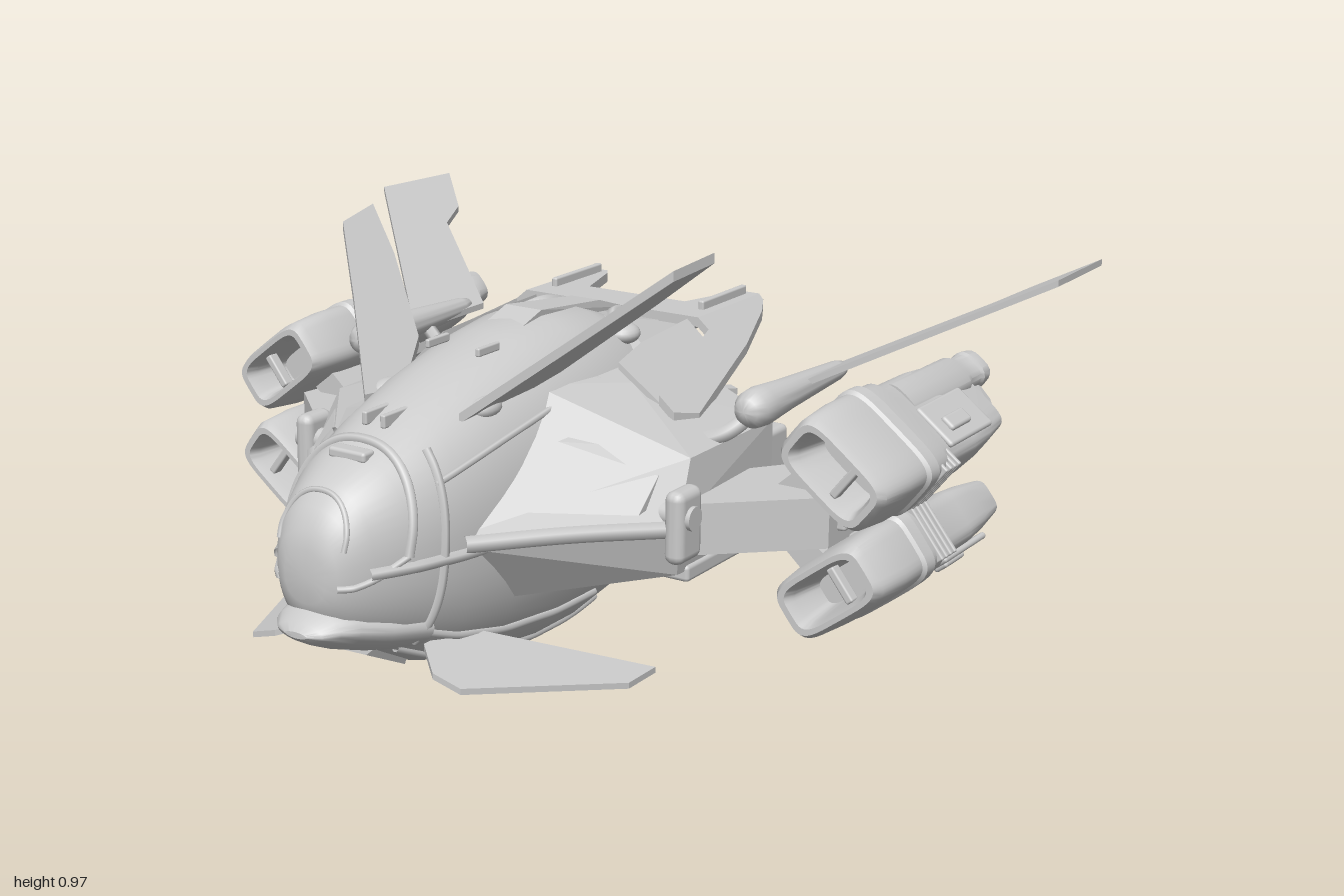
import * as THREE from 'three';
import { toCreasedNormals } from 'three/addons/utils/BufferGeometryUtils.js';
import { ConvexGeometry } from 'three/addons/geometries/ConvexGeometry.js';
import { RoundedBoxGeometry } from 'three/addons/geometries/RoundedBoxGeometry.js';

const mat = new THREE.MeshStandardMaterial({ color: 0xcccccc, side: THREE.DoubleSide });
const V = (x, y, z) => new THREE.Vector3(x, y, z);

// Superellipse ring, counter-clockwise seen from +z
function ring(z, cx, cy, hw, hh, power = 2, n = 32) {
  return Array.from({ length: n }, (_, i) => {
    const a = (i / n) * Math.PI * 2, c = Math.cos(a), s = Math.sin(a);
    return V(cx + hw * Math.sign(c) * Math.abs(c) ** (2 / power),
      cy + hh * Math.sign(s) * Math.abs(s) ** (2 / power), z);
  });
}

// Skin over rings running from front to back, closed at both ends
function loft(rings, crease = 0.6) {
  const n = rings[0].length, last = rings.length - 1, pos = [], idx = [];
  const mid = r => r.reduce((a, p) => a.add(p), V(0, 0, 0)).divideScalar(n);
  [...rings.flat(), mid(rings[0]), mid(rings[last])].forEach(p => pos.push(p.x, p.y, p.z));
  const c0 = n * rings.length, c1 = c0 + 1;
  for (let j = 0; j < n; j++) {
    const k = (j + 1) % n;
    for (let i = 0; i < last; i++) {
      const a = i * n + j, b = i * n + k, c = a + n, d = b + n;
      idx.push(a, c, b, b, c, d);
    }
    idx.push(c0, j, k, c1, last * n + k, last * n + j);
  }
  const g = new THREE.BufferGeometry();
  g.setAttribute('position', new THREE.Float32BufferAttribute(pos, 3));
  g.setIndex(idx);
  return toCreasedNormals(g, crease);
}

// Plate outlined in x,z, with its underside lifted to height(x, z)
function plate(outline, thick, height) {
  const s = new THREE.Shape(outline.map(([x, z]) => new THREE.Vector2(x, -z)));
  const g = new THREE.ExtrudeGeometry(s, { depth: thick, bevelEnabled: false }).rotateX(-Math.PI / 2);
  const p = g.attributes.position;
  for (let i = 0; i < p.count; i++) p.setY(i, p.getY(i) + height(p.getX(i), p.getZ(i)));
  g.computeVertexNormals();
  return g;
}

const hull = pts => new ConvexGeometry(pts.map(p => V(...p)));
const box = (w, h, d, x, y, z, r = 0.008) => new RoundedBoxGeometry(w, h, d, 2, r).translate(x, y, z);
const rod = (pts, r, seg = 24) => new THREE.TubeGeometry(new THREE.CatmullRomCurve3(pts), seg, r, 6);

function mirrored(geo) {
  const g = geo.clone().scale(-1, 1, 1);
  const src = g.index ? Array.from(g.index.array) : Array.from({ length: g.attributes.position.count }, (_, i) => i);
  for (let i = 0; i < src.length; i += 3) [src[i + 1], src[i + 2]] = [src[i + 2], src[i + 1]];
  g.setIndex(src);
  return g;
}

// Fuselage stations: z, top, bottom, half width
const stations = [
  [0.905, 0.43, 0.31, 0.055], [0.895, 0.47, 0.28, 0.08], [0.87, 0.515, 0.24, 0.105], [0.83, 0.555, 0.205, 0.13],
  [0.75, 0.6, 0.16, 0.172], [0.6, 0.665, 0.085, 0.21], [0.45, 0.715, 0.04, 0.232], [0.25, 0.762, 0.016, 0.25],
  [0.1, 0.78, 0.018, 0.258], [-0.05, 0.77, 0.045, 0.26], [-0.15, 0.735, 0.068, 0.25], [-0.22, 0.7, 0.085, 0.235]];

// Point on the fuselage skin at z; angle 0 is the left side, 90 the top
function skin(z, deg) {
  let i = 0;
  while (i < stations.length - 2 && stations[i + 1][0] > z) i++;
  const A = stations[i], B = stations[i + 1], t = (A[0] - z) / (A[0] - B[0]);
  const [top, bot, w] = [1, 2, 3].map(k => A[k] + (B[k] - A[k]) * t);
  const a = deg * Math.PI / 180, c = Math.cos(a), s = Math.sin(a), e = 2 / 2.3;
  return V(w * Math.sign(c) * Math.abs(c) ** e, (top + bot) / 2 + (top - bot) / 2 * Math.sign(s) * Math.abs(s) ** e, z);
}

export function createModel() {
  const model = new THREE.Group();
  model.name = 'dropship';
  const add = (name, geo) => {
    const m = new THREE.Mesh(geo, mat);
    m.name = name;
    model.add(m);
  };
  const pair = (name, geo) => { add(name + 'Left', geo); add(name + 'Right', mirrored(geo)); };

  // Fuselage, beak and belly
  add('fuselage', loft(stations.map(([z, t, b, w]) => ring(z, 0, (t + b) / 2, w, (t - b) / 2, 2.3, 48))));
  add('beak', loft([[0.94, 0.25, 0.03, 0.007], [0.925, 0.252, 0.062, 0.022], [0.895, 0.255, 0.088, 0.042],
    [0.85, 0.25, 0.108, 0.058], [0.78, 0.235, 0.14, 0.068], [0.68, 0.22, 0.17, 0.08]]
    .map(([z, y, w, h]) => ring(z, 0, y, w, h, 1.8))));
  add('chinGun', hull([[-0.035, 0.2, 0.85], [0.035, 0.2, 0.85], [-0.06, 0.165, 0.78], [0.06, 0.165, 0.78],
    [-0.04, 0.085, 0.62], [0.04, 0.085, 0.62], [-0.06, 0.2, 0.6], [0.06, 0.2, 0.6]]));
  add('bellyPlate', hull([1, -1].flatMap(s => [[s * 0.05, 0.025, 0.42], [s * 0.04, 0, 0.3], [s * 0.04, 0, 0.12],
    [s * 0.09, 0.03, 0.3], [s * 0.09, 0.03, 0.1]])));

  // Canopy brow and raised seams that follow the skin
  const arc = (z0, z1, a0, a1) => Array.from({ length: 13 }, (_, i) =>
    skin(z0 + (z1 - z0) * Math.sin(i / 12 * Math.PI), a0 + (a1 - a0) * i / 12));
  add('canopyBrow', rod(arc(0.76, 0.7, 5, 175), 0.012, 48));
  add('windscreenTop', rod(arc(0.88, 0.84, 25, 155), 0.007, 48));
  const run = (z0, z1, a0, a1, r) => rod(Array.from({ length: 12 }, (_, i) =>
    skin(z0 + (z1 - z0) * i / 11, a0 + (a1 - a0) * i / 11)), r, 36);
  pair('windscreenFrame', run(0.895, 0.76, -10, 5, 0.008));
  pair('cheekFrame', run(0.64, 0.7, 55, -50, 0.011));
  pair('sideStrake', run(0.84, 0.25, 0, 0, 0.014));
  pair('upperSeam', run(0.66, 0.1, 35, 38, 0.008));
  pair('lowerSeam', run(0.7, 0.1, -40, -42, 0.01));
  pair('bellySeam', run(0.72, 0, -62, -62, 0.01));

  // Roof fittings
  add('spine', hull([[-0.05, 0.765, 0.18], [0.05, 0.765, 0.18], [-0.05, 0.79, 0.1], [0.05, 0.79, 0.1],
    [-0.04, 0.72, -0.28], [0.04, 0.72, -0.28], [-0.04, 0.76, -0.16], [0.04, 0.76, -0.16]]));
  pair('sensorDisc', new THREE.SphereGeometry(0.044, 24, 12).scale(1, 0.6, 1).translate(0.15, 0.71, -0.09));
  pair('sensorRail', rod([V(0.15, 0.72, -0.06), V(0.1, 0.745, -0.13), V(0.09, 0.715, -0.24)], 0.014));
  pair('finRoot', new THREE.SphereGeometry(0.036, 20, 12).scale(0.9, 0.7, 1.3).translate(0.135, 0.652, 0.44));
  pair('roofSlot', box(0.012, 0.02, 0.08, 0.07, 0.752, 0.34, 0.004));
  pair('noseProbe', box(0.014, 0.03, 0.09, 0.025, 0.655, 0.62, 0.004));
  add('noseSensor', box(0.1, 0.025, 0.04, 0, 0.6, 0.74));

  // Upper, lower and main wings
  pair('upperFin', plate([[0.13, 0.53], [0.31, 0.34], [0.46, 0.19], [0.48, 0.05], [0.37, 0.11], [0.2, 0.24], [0.12, 0.4]],
    0.024, x => 0.635 + (x - 0.13) * 0.89));
  pair('lowerFin', plate([[0.14, 0.68], [0.22, 0.755], [0.29, 0.75], [0.49, 0.4], [0.49, 0.29], [0.14, 0.55]],
    0.014, x => 0.165 - (x - 0.13) * 0.3));
  pair('mainWing', plate([[0.53, -0.16], [0.58, -0.22], [1, -0.65], [0.99, -0.94], [0.865, -0.815], [0.82, -0.7], [0.53, -0.47]],
    0.016, x => 0.595 + (x - 0.53) * 0.49));
  pair('wingPod', loft([[0.035, 0.01], [0.025, 0.03], [0, 0.044], [-0.04, 0.047], [-0.15, 0.038], [-0.4, 0.024], [-0.43, 0.018], [-0.445, 0.005]]
    .map(([z, r]) => ring(z, 0.555, 0.61, r, r, 2, 24)), 1));
  pair('wingBrace', rod([V(0.55, 0.6, -0.03), V(0.5, 0.55, 0.02), V(0.42, 0.52, 0.05)], 0.02));
  pair('wingStrut', rod([V(0.55, 0.59, -0.25), V(0.46, 0.55, -0.2), V(0.38, 0.5, -0.15)], 0.018));

  // Side sponsons with arms out to the engines
  pair('sponson', hull([[0.15, 0.67, 0.28], [0.15, 0.67, -0.22], [0.27, 0.64, 0.05], [0.27, 0.63, -0.2], [0.15, 0.4, 0.66],
    [0.15, 0.22, 0.5], [0.15, 0.2, -0.2], [0.3, 0.25, 0.36], [0.5, 0.53, 0.17], [0.5, 0.53, -0.2], [0.52, 0.4, 0.25],
    [0.5, 0.27, 0.22], [0.5, 0.25, -0.2], [0.35, 0.245, -0.22]]));
  pair('sponsonEdge', rod([V(0.21, 0.4, 0.62), V(0.36, 0.4, 0.44), V(0.51, 0.39, 0.26)], 0.02));
  pair('sponsonPanel', hull([[0.26, 0.57, 0.34], [0.26, 0.45, 0.5], [0.46, 0.5, 0.24], [0.46, 0.43, 0.32],
    [0.26, 0.5, 0.2], [0.46, 0.45, 0.15], [0.3, 0.59, 0.2], [0.46, 0.54, 0.16]]));
  pair('sponsonSkirt', box(0.16, 0.04, 0.38, 0.43, 0.262, 0, 0.01));
  pair('hingeCap', box(0.05, 0.17, 0.1, 0.525, 0.4, 0.24, 0.022));
  pair('hingePin', new THREE.CylinderGeometry(0.028, 0.028, 0.09, 20).rotateZ(Math.PI / 2).translate(0.515, 0.42, 0.245));
  pair('engineArm', hull([0.32, 0.44].flatMap(y => [[0.5, y, 0.24], [0.5, y, -0.08], [0.62, y, 0.13], [0.76, y, 0], [0.76, y, -0.28], [0.62, y, -0.24]])));
  pair('armPanel', box(0.03, 0.06, 0.2, 0.765, 0.38, -0.14));
  pair('sponsonRear', box(0.1, 0.2, 0.14, 0.45, 0.4, -0.21, 0.015));

  // Engine pods: one shape, tilted and placed above and below the arm
  for (const s of [1, -1]) {
    const place = g => g.rotateZ(-s * 0.66).translate(0.79, 0.375 + s * 0.138, 0);
    const label = s > 0 ? 'upper' : 'lower';
    const put = (name, g) => pair(label + name, place(g));
    put('Engine', loft([[-0.06, 0.085, 0.035], [0.04, 0.095, 0.045], [0.068, 0.105, 0.054], [0.068, 0.12, 0.066], [0.045, 0.132, 0.076],
      [-0.05, 0.139, 0.084], [-0.24, 0.139, 0.084], [-0.27, 0.128, 0.074], [-0.42, 0.126, 0.072], [-0.52, 0.118, 0.064], [-0.63, 0.1, 0.05]]
      .map(([z, w, h]) => ring(z, 0, 0, w, h, 4.5, 40)), 0.5));
    put('IntakeBar', box(0.02, 0.09, 0.03, 0.03, 0, 0.03, 0.005));
    put('Nozzle', loft([[-0.3, 0.058], [-0.6, 0.055], [-0.63, 0.046], [-0.68, 0.046], [-0.69, 0.05], [-0.73, 0.046], [-0.73, 0.036], [-0.64, 0.032]]
      .map(([z, r]) => ring(z, -0.06, s * 0.02, r, r, 3, 20)), 0.5));
    put('ExhaustFairing', hull([-1, 1].flatMap(v => [[-0.02, v * 0.045, -0.6], [0.09, v * 0.045, -0.6], [-0.04, v * 0.03, -0.7], [0.03, v * 0.03, -0.68]])));
    put('EngineBand', loft([-0.13, -0.14, -0.18, -0.19].map((z, i) =>
      ring(z, 0, 0, 0.138 + (i % 3 ? 0.008 : 0), 0.083 + (i % 3 ? 0.008 : 0), 4.5, 40)), 0.5));
    for (let i = 0; i < 4; i++) put('EngineRib' + i, box(0.05, 0.14, 0.011, 0.118, 0, -0.212 - i * 0.022, 0.004));
    put('EngineHatch', box(0.12, 0.016, 0.22, 0.04, s * 0.074, -0.4));
    put('EngineLatch', box(0.04, 0.018, 0.1, 0.05, s * 0.084, -0.38));
    put('EngineKeel', box(0.14, 0.02, 0.3, 0, -s * 0.078, -0.25));
    pair(label + 'EngineStrut', hull([-0.02, -0.2].flatMap(z => [[0.6, 0.375 + s * 0.05, z], [0.67, 0.375 + s * 0.03, z],
      [0.7, 0.375 + s * 0.14, z], [0.77, 0.375 + s * 0.1, z]])));
  }

  // Tail deck and swept arch: a flat crossbar with prongs, and legs dropping over the shoulders
  add('tailDeck', hull([1, -1].flatMap(s => [[s * 0.26, 0.6, -0.05], [s * 0.12, 0.735, -0.12], [s * 0.24, 0.64, -0.12],
    [s * 0.15, 0.68, -0.37], [s * 0.22, 0.62, -0.37], [s * 0.18, 0.59, -0.37]])));
  const bar = [[0.14, -0.39], [0.185, -0.54], [0.2, -0.565], [0.25, -0.565], [0.25, -0.27]];
  add('tailCrossbar', plate([...bar, ...bar.map(([x, z]) => [-x, z]).reverse()], 0.024, () => 0.7));
  const drop = x => 0.7 - (x - 0.25) * 0.85;
  pair('archLeg', plate([[0.25, -0.565], [0.265, -0.56], [0.285, -0.52], [0.335, -0.36], [0.42, 0], [0.4, 0.08], [0.36, 0.08], [0.28, -0.27], [0.25, -0.27]], 0.024, drop));
  pair('shoulderPanel', plate([[0.27, -0.27], [0.35, 0.06], [0.25, 0.08], [0.23, -0.05], [0.22, -0.27]], 0.016, x => drop(x) - 0.025));
  add('tailFlap', hull([1, -1].flatMap(s => [[s * 0.145, 0.7, -0.37], [s * 0.15, 0.64, -0.37], [s * 0.135, 0.67, -0.535], [s * 0.12, 0.64, -0.54]])));
  pair('tailBlade', box(0.016, 0.035, 0.21, 0.215, 0.728, -0.445, 0.005));

  // Rear bay with walls, open doors and ramp
  pair('bayWall', box(0.035, 0.4, 0.17, 0.19, 0.4, -0.28));
  pair('bayDoor', hull([[0.22, 0.56, -0.2], [0.22, 0.26, -0.2], [0.25, 0.56, -0.2], [0.25, 0.26, -0.2],
    [0.27, 0.53, -0.4], [0.27, 0.3, -0.4], [0.3, 0.53, -0.38], [0.3, 0.3, -0.38]]));
  pair('doorPanel', box(0.03, 0.2, 0.14, 0.36, 0.4, -0.27));
  pair('bayPost', box(0.06, 0.34, 0.05, 0.14, 0.4, -0.24));
  add('ramp', loft([[-0.18, 0.2, 0.135, 0.06], [-0.3, 0.17, 0.145, 0.045], [-0.4, 0.135, 0.15, 0.03], [-0.45, 0.1, 0.155, 0.018], [-0.465, 0.07, 0.157, 0.01]]
    .map(([z, w, y, h]) => ring(z, 0, y, w, h, 2.6)), 0.5));

  return model;
}
